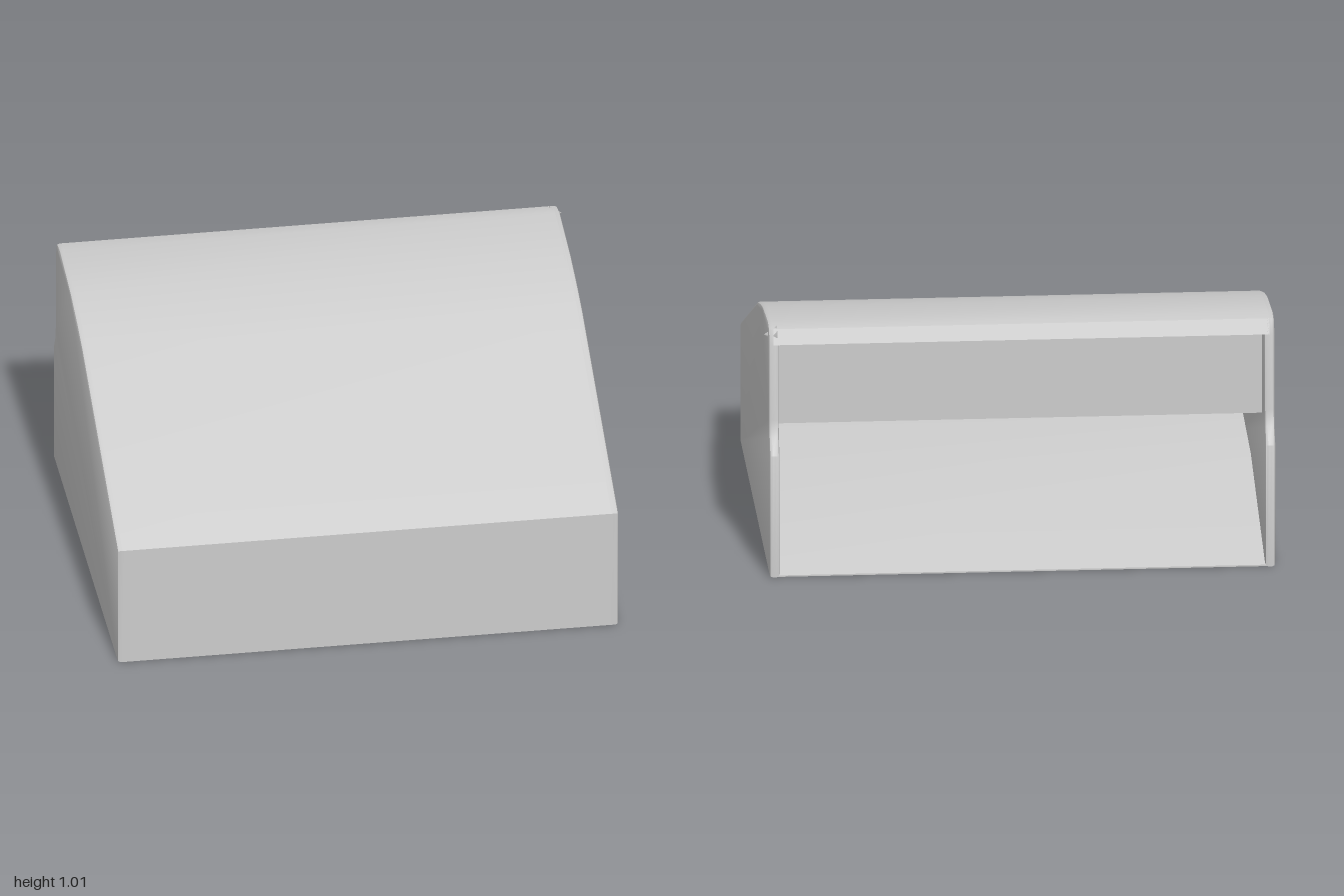
import * as THREE from 'three';
import { toCreasedNormals } from 'three/addons/utils/BufferGeometryUtils.js';

const material = new THREE.MeshStandardMaterial({ color: 0xcccccc, side: THREE.DoubleSide });

// Extrudes a [z, y] outline sideways from x0 to x1, with an optional edge bevel.
function slab(name, points, x0, x1, bevel = 0) {
  const shape = new THREE.Shape(points.map(([z, y]) => new THREE.Vector2(z, y)));
  const geometry = new THREE.ExtrudeGeometry(shape, {
    depth: x1 - x0 - 2 * bevel,
    bevelEnabled: bevel > 0,
    bevelSize: bevel,
    bevelOffset: -bevel,
    bevelThickness: bevel,
    bevelSegments: 2,
  });
  geometry.rotateY(-Math.PI / 2);
  geometry.translate(x1 - bevel, 0, 0);
  const mesh = new THREE.Mesh(toCreasedNormals(geometry, 0.6), material);
  mesh.name = name;
  return mesh;
}

export function createModel() {
  const group = new THREE.Group();
  group.name = 'slopedCase';

  // Floor, front and curved roof, shared outer line running from back to back
  const outer = [
    [-0.82, 0], [0.825, 0], [0.825, 0.5], [-0.1, 0.895], [-0.25, 0.94],
    [-0.4, 0.975], [-0.68, 1.01], [-0.75, 1.0], [-0.77, 0.94],
  ];

  // Hollow shell: rear lip, hanging panel, roof underside and rising inner floor
  const inner = [
    [-0.63, 0.94], [-0.63, 0.57], [-0.615, 0.57], [-0.615, 0.95], [-0.4, 0.94],
    [-0.1, 0.86], [0.79, 0.475], [0.79, 0.22], [0, 0.19], [-0.82, 0.006],
  ];
  group.add(slab('shell', [...outer, ...inner], -0.98, 0.965));

  // Side walls, stepped outwards at the lower back
  const side = [
    ...outer.slice(1),
    [-0.77, 0.63], [-0.785, 0.565], [-0.825, 0.5], [-0.825, 0],
  ];
  group.add(slab('rightWall', side, -1, -0.96, 0.012));
  group.add(slab('leftWall', side, 0.945, 0.985, 0.012));

  // Small flared corner at the upper back of the left wall
  const flare = new THREE.Mesh(new THREE.ConeGeometry(0.035, 0.05, 4), material);
  flare.name = 'cornerFlare';
  flare.rotation.z = -Math.PI / 2;
  flare.position.set(0.975, 0.975, -0.735);
  group.add(flare);

  return group;
}
